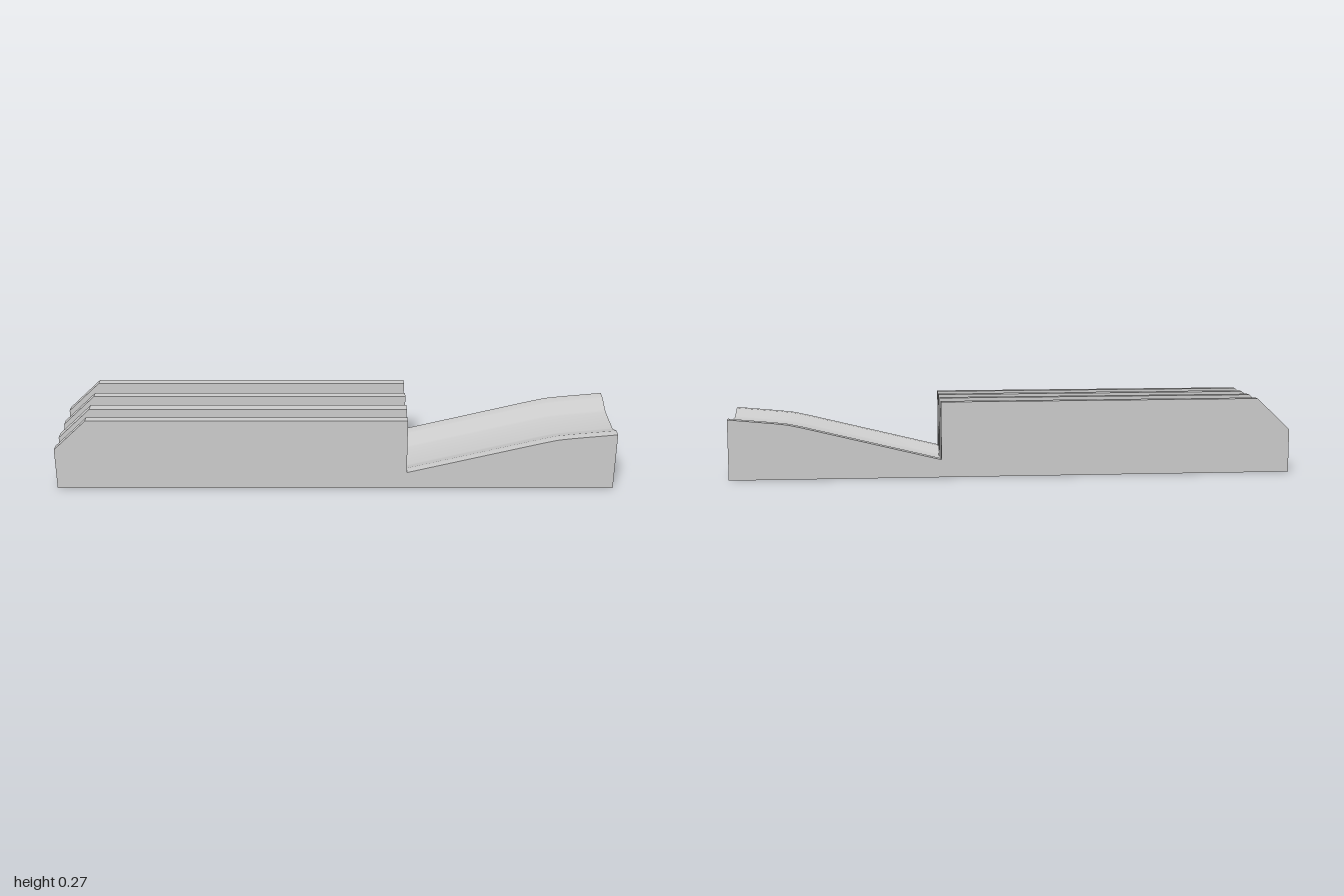
import * as THREE from 'three';
import { toCreasedNormals } from 'three/addons/utils/BufferGeometryUtils.js';

const material = new THREE.MeshStandardMaterial({ color: 0xcccccc });
const END = 0.9987, HALF = 0.1755, STEP = 0.256;

// Height of the rim along x, and drop of the shallow trough across z
const rim = [[-END, 0.063], [STEP, 0.063], [0.74, 0.182], [0.79, 0.193], [0.84, 0.199], [END, 0.214]];
const trough = [
  [HALF, 0], [0.147, 0], [0.138, -0.002], [0.085, -0.022], [0.074, -0.024],
  [-0.06, -0.024], [-0.07, -0.022], [-0.132, -0.002], [-0.142, 0], [-HALF, 0],
];

// Block lofted from cross-sections: troughed top, flat bottom
function bodyGeometry() {
  const n = trough.length, ring = 2 * n, pos = [], index = [];
  for (const [x, y] of rim) {
    for (const [z, drop] of trough) pos.push(x, y + drop, z);
    for (const [z] of [...trough].reverse()) pos.push(x, 0, z);
  }
  const quad = (a, b, c, d) => index.push(a, b, c, a, c, d);
  for (let i = 0; i < rim.length - 1; i++) {
    for (let j = 0; j < ring; j++) {
      const k = (j + 1) % ring, s = i * ring;
      quad(s + j, s + ring + j, s + ring + k, s + k);
    }
  }
  const last = (rim.length - 1) * ring;
  for (let j = 0; j < n - 1; j++) {
    const b = ring - 1 - j;
    quad(last + j, last + b, last + b - 1, last + j + 1); // +x end
    quad(j, j + 1, b - 1, b); // -x end
  }
  const geometry = new THREE.BufferGeometry();
  geometry.setAttribute('position', new THREE.Float32BufferAttribute(pos, 3));
  geometry.setIndex(index);
  return toCreasedNormals(geometry, 0.5);
}

export function createModel() {
  const model = new THREE.Group();
  model.name = 'slottedRamp';

  const body = new THREE.Mesh(bodyGeometry(), material);
  body.name = 'rampBody';
  model.add(body);

  // Four upright fins with a chamfered outer end
  const profile = new THREE.Shape([
    [-END, 0.02], [STEP, 0.02], [STEP, 0.268], [-0.88, 0.268], [-END, 0.155],
  ].map(([x, y]) => new THREE.Vector2(x, y)));
  const fins = [[0.146, HALF], [0.044, 0.08], [-0.06, -0.03], [-HALF, -0.145]];
  fins.forEach(([z0, z1], i) => {
    const geometry = new THREE.ExtrudeGeometry(profile, { depth: z1 - z0, bevelEnabled: false });
    const fin = new THREE.Mesh(geometry, material);
    fin.name = `fin${i + 1}`;
    fin.position.z = z0;
    model.add(fin);
  });

  // The whole piece sits very slightly turned
  model.rotation.y = -0.0075;
  return model;
}
